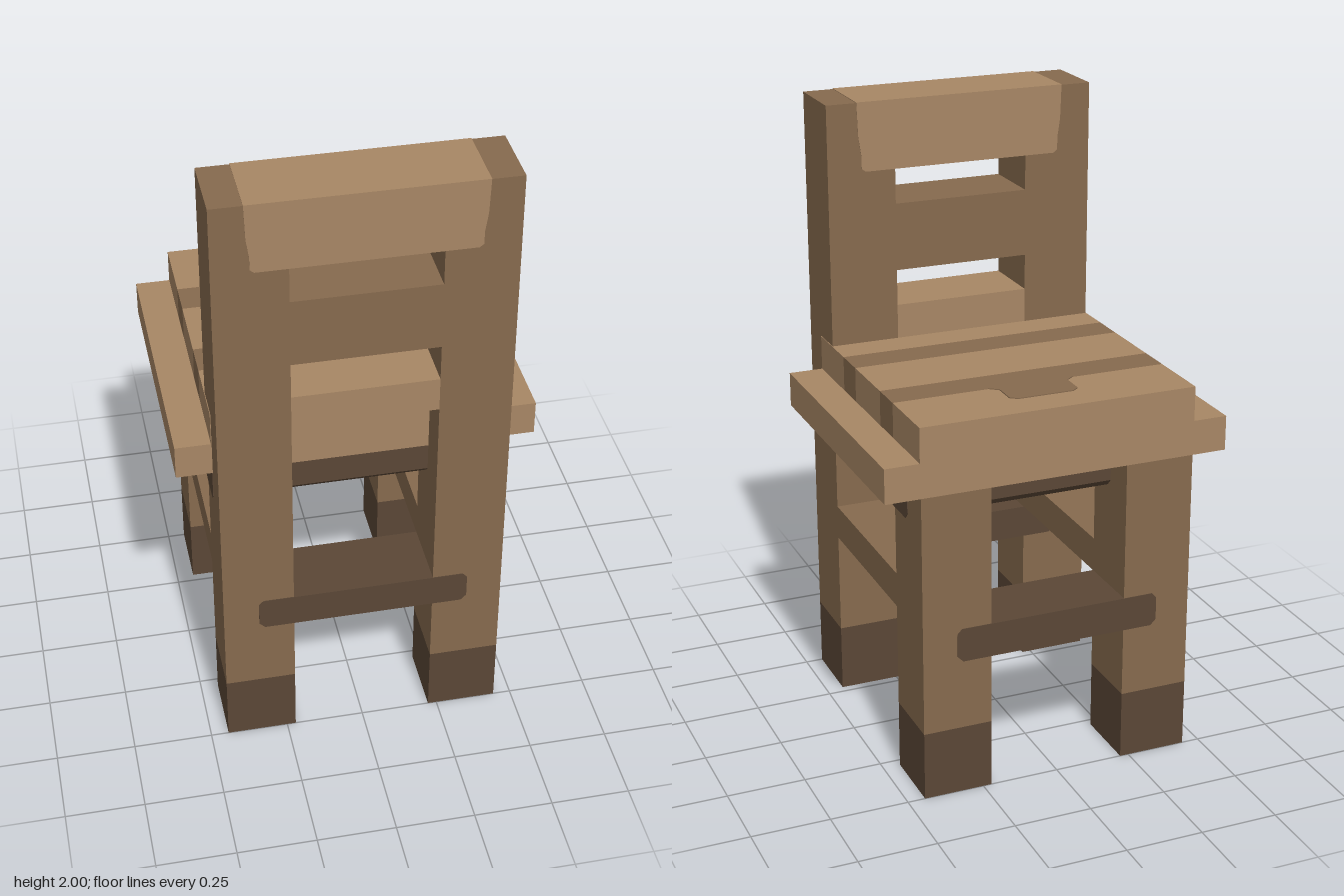
import * as THREE from 'three';

const mat = (name, color) => {
  const m = new THREE.MeshStandardMaterial({ color });
  m.name = name;
  return m;
};

export function createModel() {
  const light = mat('light wood', 0xa88765);
  const mid = mat('medium wood', 0x866a4e);
  const dark = mat('dark wood', 0x5b4736);
  const chair = new THREE.Group();
  chair.name = 'chair';
  const e = 0.002; // overlap that keeps painted joints from sharing a face

  const add = (name, geometry, material) => {
    const mesh = new THREE.Mesh(geometry, material);
    mesh.name = name;
    chair.add(mesh);
    return mesh;
  };
  // Box given by its minimum and maximum on each axis
  const box = (name, material, x0, x1, y0, y1, z0, z1) => {
    const g = new THREE.BoxGeometry(x1 - x0, y1 - y0, z1 - z0);
    g.translate((x0 + x1) / 2, (y0 + y1) / 2, (z0 + z1) / 2);
    return add(name, g, material);
  };
  // Outline mirrored across x = 0 (right half listed bottom to top)
  const mirrored = (half) => {
    const left = half.map(([x, y]) => [-x, y]).reverse();
    return new THREE.Shape([...half, ...left].map(([x, y]) => new THREE.Vector2(x, y)));
  };
  const slab = (half, depth) =>
    new THREE.ExtrudeGeometry(mirrored(half), { depth, bevelEnabled: false });

  // Legs, back posts, feet, side stretchers and side slats
  for (const s of [-1, 1]) {
    const side = (name, m, x0, x1, ...rest) =>
      box(name, m, Math.min(s * x0, s * x1), Math.max(s * x0, s * x1), ...rest);
    side('backPost', mid, 0.222, 0.444, 0.222, 1.998, 0.278, 0.5);
    side('frontLeg', mid, 0.222, 0.444, 0.222, 1, -0.5, -0.278);
    side('backFoot', dark, 0.222, 0.444, 0, 0.222, 0.278, 0.5);
    side('frontFoot', dark, 0.222, 0.444, 0, 0.222, -0.5, -0.278);
    side('sideStretcher', mid, 0.222, 0.444, 0.556, 0.667, -0.278, 0.278);
    side('sideSlat', light, 0.444, 0.556, 1, 1.111, -0.5, 0.389);
  }

  // Cross stretchers with clipped corners that lap over the legs
  const cross = [[0.315, 0.447], [0.333, 0.465], [0.333, 0.54], [0.318, 0.556]];
  for (const z of [-0.5, 0.278]) {
    add('crossStretcher', slab(cross, 0.222 + 2 * e), dark).position.z = z - e;
  }

  // Apron slab under the seat, running from side to side
  const apron = [[0.37, 0.889], [0.389, 0.91], [0.389, 1]];
  const apronGeo = slab(apron, 0.888 + 2 * e);
  apronGeo.translate(0, 0, -0.444 - e);
  apronGeo.rotateY(Math.PI / 2);
  add('apron', apronGeo, dark);

  // Seat boards, alternating light and medium strips
  const cuts = [-0.5, -0.278, -0.167, 0.056, 0.167, 0.389];
  for (let i = 0; i < 5; i++) {
    box('seatBoard', i % 2 ? mid : light, -0.444 - e, 0.444 + e, 1, 1.222, cuts[i], cuts[i + 1]);
  }

  // Knot painted on the front board
  const knot = [[0.14, 0.278], [0.112, 0.3], [0.112, 0.375], [0.09, 0.392]];
  const knotGeo = slab(knot, 0.003);
  knotGeo.rotateX(-Math.PI / 2);
  add('seatKnot', knotGeo, mid).position.y = 1.222;

  // Backrest rails between the posts
  box('lowerBackRail', light, -0.222, 0.222, 1.222, 1.333, 0.278, 0.5);
  box('middleBackRail', mid, -0.222, 0.222, 1.449, 1.667, 0.278, 0.5);

  // Top rail lapping over both posts
  const top = [[0.32, 1.78], [0.333, 1.79], [0.333, 1.83], [0.342, 1.89], [0.346, 2]];
  add('topBackRail', slab(top, 0.222 + 2 * e), light).position.z = 0.278 - e;

  return chair;
}
